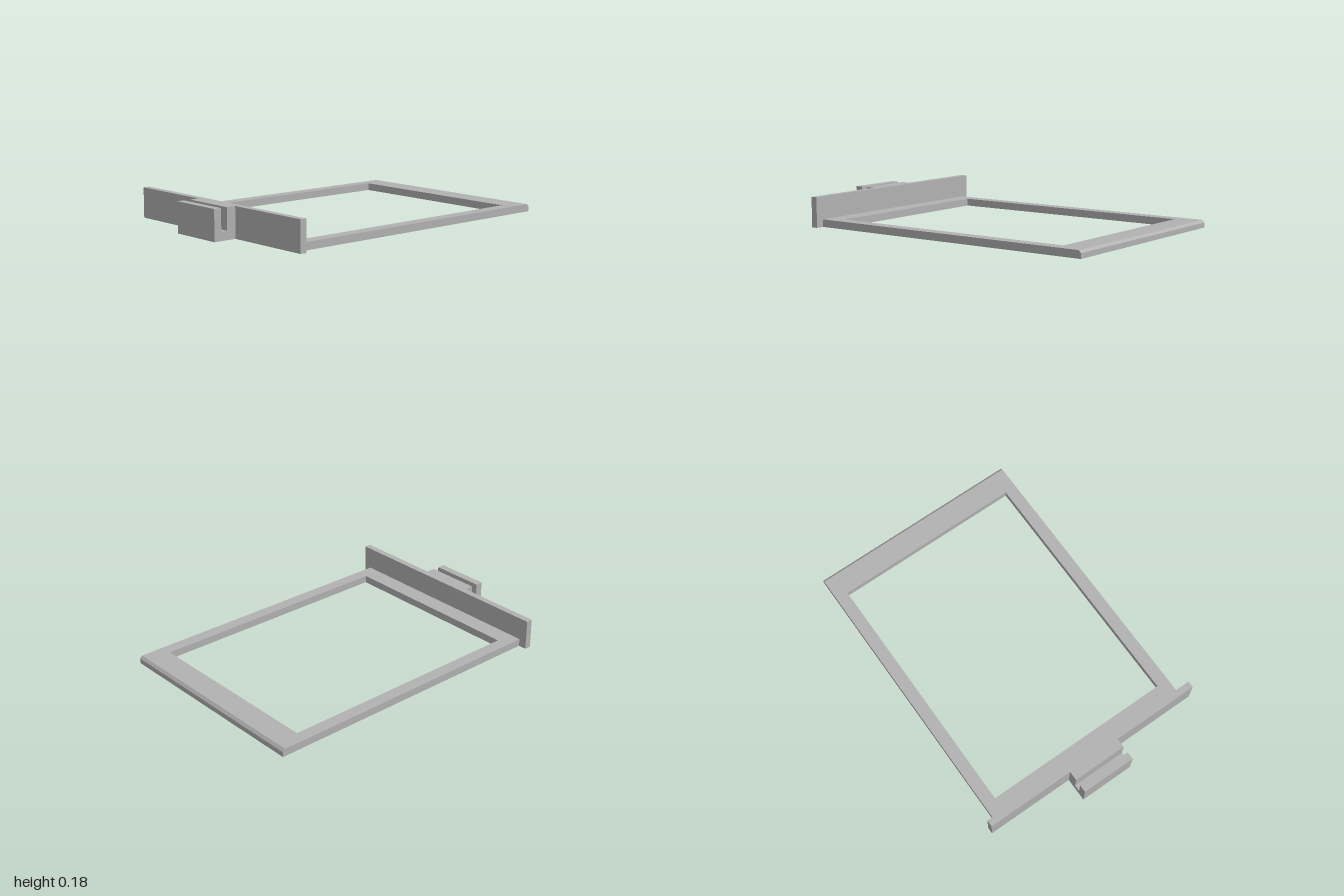
import * as THREE from 'three';

const gray = new THREE.MeshStandardMaterial({ color: 0xb2b2b2 });
gray.name = 'plain gray';

// Closed polygon from [x, y] pairs
const polygon = (points, Type = THREE.Shape) =>
  new Type(points.map(([x, y]) => new THREE.Vector2(x, y)));

const rectangle = (x, y0, y1) => [[-x, y0], [x, y0], [x, y1], [-x, y1]];

function addPart(group, name, geometry) {
  const mesh = new THREE.Mesh(geometry, gray);
  mesh.name = name;
  group.add(mesh);
}

// Side profile given as [z, y], extruded along x and centred on x = 0
function sideProfile(points, width) {
  const shape = polygon(points.map(([z, y]) => [-z, y]));
  const geometry = new THREE.ExtrudeGeometry(shape, { depth: width, bevelEnabled: false });
  geometry.translate(0, 0, -width / 2);
  return geometry.rotateY(Math.PI / 2);
}

export function createModel() {
  const group = new THREE.Group();
  group.name = 'trayFrame';

  const frameHeight = 0.045, plateHeight = 0.181;
  const back = -1, lip = -0.985, plateBack = 0.818, plateFront = 0.858;

  // Flat open frame, drawn in plan with y = -z
  const outline = polygon(rectangle(0.66, -plateBack, -lip));
  outline.holes.push(polygon(rectangle(0.585, -0.71, 0.842), THREE.Path));
  const frame = new THREE.ExtrudeGeometry(outline, { depth: frameHeight, bevelEnabled: false });
  addPart(group, 'frame', frame.rotateX(-Math.PI / 2));

  // Chamfered rear edge
  addPart(group, 'rearLip', sideProfile(
    [[lip, 0], [back, 0], [back, 0.03], [lip, frameHeight]], 1.32));

  // Wide upright front plate
  const plate = new THREE.BoxGeometry(1.42, plateHeight, plateFront - plateBack);
  plate.translate(0, plateHeight / 2, (plateBack + plateFront) / 2);
  addPart(group, 'frontPlate', plate);

  // Handle block with an open slot across its top
  addPart(group, 'slottedHandle', sideProfile([
    [plateFront, 0], [plateFront, plateHeight], [0.915, plateHeight], [0.915, 0.052],
    [0.954, 0.052], [0.954, plateHeight], [1, plateHeight], [1, 0]], 0.336));

  return group;
}
